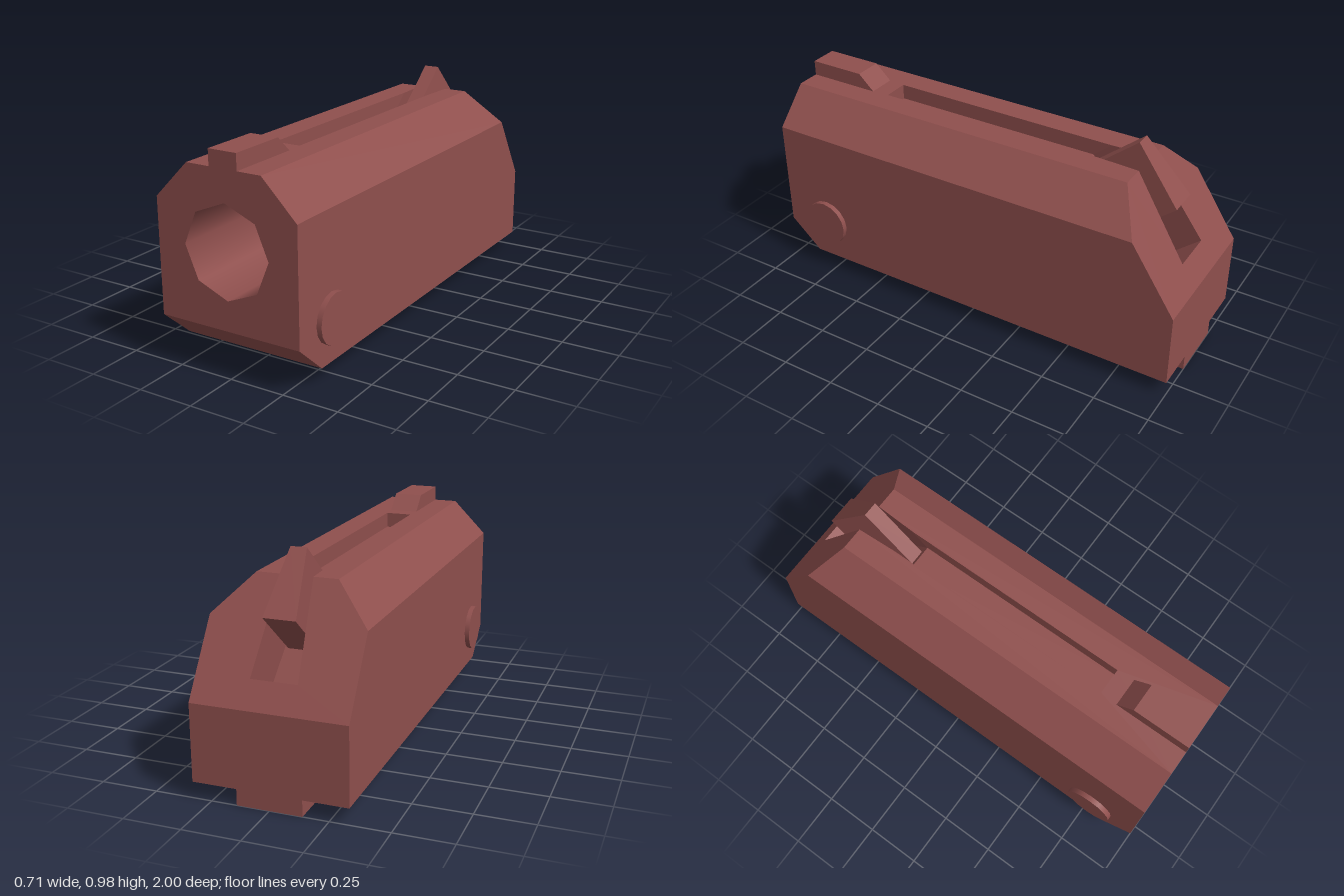
import * as THREE from 'three';

const material = new THREE.MeshStandardMaterial({ color: 0x8f4f4d });
const V = (x, y, z) => new THREE.Vector3(x, y, z);
const flipX = (pts) => pts.map((p) => V(-p.x, p.y, p.z));
// closes a right-hand chain of points with its mirror image
const symmetric = (half) => [...half, ...flipX(half).reverse()];

// Triangulates planar polygons, each turned to face its outward direction
function polygonMesh(name, faces) {
  const pos = [];
  for (const { pts, out, hole = [] } of faces) {
    const n = V(0, 0, 0);
    pts.forEach((p, i) => n.add(p.clone().cross(pts[(i + 1) % pts.length])));
    n.normalize();
    if (n.dot(out) < 0) n.negate();
    const u = (Math.abs(n.x) > 0.9 ? V(0, 0, 1) : V(1, 0, 0)).cross(n).normalize();
    const v = n.clone().cross(u);
    const flat = (list) => list.map((p) => new THREE.Vector2(p.dot(u), p.dot(v)));
    const all = [...pts, ...hole];
    const tris = THREE.ShapeUtils.triangulateShape(flat(pts), hole.length ? [flat(hole)] : []);
    for (const [a, b, c] of tris) {
      const ab = all[b].clone().sub(all[a]);
      const ac = all[c].clone().sub(all[a]);
      const order = ab.cross(ac).dot(n) > 0 ? [a, b, c] : [a, c, b];
      for (const i of order) pos.push(...all[i].toArray());
    }
  }
  const g = new THREE.BufferGeometry();
  g.setAttribute('position', new THREE.Float32BufferAttribute(pos, 3));
  g.computeVertexNormals();
  return named(name, g);
}

function named(name, geometry, mat = material) {
  const mesh = new THREE.Mesh(geometry, mat);
  mesh.name = name;
  return mesh;
}

// Extrudes a (z, y) side profile across x
function sideExtrude(name, profile, width) {
  const shape = new THREE.Shape(profile.map(([z, y]) => new THREE.Vector2(-z, y)));
  const g = new THREE.ExtrudeGeometry(shape, { depth: width, bevelEnabled: false });
  g.translate(0, 0, -width / 2).rotateY(Math.PI / 2);
  return named(name, g);
}

function createBody() {
  const W = 0.333, T = 0.175, top = 0.87, shoulder = 0.71, base = 0.07;
  const boreY = 0.535, boreR = 0.2;

  // corners of the +x half
  const topFront = V(T, top, 1), topBack = V(T, top, -0.69);
  const shFront = V(W, shoulder, 1), shBack = V(W, shoulder, -0.797);
  const lowFront = V(W, 0.205, 1), baseFront = V(W, base, 0.85);
  const baseBack = V(W, base, -1), slopeEnd = V(W, 0.405, -1);

  // slot along the top, running into a flared pocket on the rear slope
  const slotFront = V(0.06, top, 0.58), slotKink = V(0.06, top, -0.504);
  const slotFloorFront = V(0.06, 0.8, 0.58), slotFloorBack = V(0.06, 0.8, -0.42);
  const pocketTop = V(0.0687, top, -0.69), pocketLow = V(0.1, 0.51, -0.93);
  const pocketDeep = V(0.1, 0.377, -0.772);

  const bore = Array.from({ length: 8 }, (_, i) => {
    const a = (i * Math.PI) / 4;
    return V(Math.sin(a) * boreR, boreY + Math.cos(a) * boreR, 1);
  });

  const faces = [
    { pts: symmetric([topFront, shFront, lowFront]), out: V(0, 0, 1), hole: bore },
    { pts: symmetric([lowFront, baseFront]), out: V(0, -1, 1) },
    { pts: symmetric([baseFront, baseBack]), out: V(0, -1, 0) },
    { pts: symmetric([baseBack, slopeEnd]), out: V(0, 0, -1) },
    { pts: symmetric([pocketLow, pocketTop, topBack, shBack, slopeEnd]), out: V(0, 1, -1) },
    { pts: symmetric([slotFront, slotKink, pocketTop, topBack, topFront]), out: V(0, 1, 0) },
    { pts: symmetric([slotFront, slotFloorFront]), out: V(0, 0, -1) },
    { pts: symmetric([slotFloorFront, slotFloorBack]), out: V(0, 1, 0) },
    { pts: symmetric([slotFloorBack, pocketDeep]), out: V(0, 0.6, -0.8) },
    { pts: symmetric([pocketDeep, pocketLow]), out: V(0, 1, 0.5) },
  ];
  // walls that repeat on both sides
  const sides = [
    [[shFront, lowFront, baseFront, baseBack, slopeEnd, shBack], V(1, 0, 0)],
    [[topFront, shFront, shBack, topBack], V(1, 1, 0)],
    [[slotFront, slotFloorFront, slotFloorBack, slotKink], V(-1, 0, 0)],
    [[slotKink, slotFloorBack, pocketDeep, pocketLow, pocketTop], V(-1, 0, 0)],
  ];
  for (const [pts, out] of sides) {
    faces.push({ pts, out }, { pts: flipX(pts), out: V(-out.x, out.y, out.z) });
  }

  const group = new THREE.Group();
  group.name = 'body';
  group.add(polygonMesh('shell', faces));

  // octagonal bore with a closed end
  const depth = 0.8;
  const inside = material.clone();
  inside.side = THREE.BackSide;
  const tube = new THREE.CylinderGeometry(boreR, boreR, depth, 8, 1, true);
  tube.rotateX(Math.PI / 2).translate(0, boreY, 1 - depth / 2);
  const end = new THREE.CircleGeometry(boreR, 8).translate(0, boreY, 1 - depth);
  group.add(named('bore', tube, inside), named('boreEnd', end));
  return group;
}

// Tilted wedge bar: a trapezoid section carried along a slanted direction
function createHammer() {
  const run = V(0, -0.64, 0.77).multiplyScalar(0.31);
  const a = V(0.035, 0.98, -0.67), b = V(0.07, 0.74, -0.87);
  const a2 = a.clone().add(run), b2 = b.clone().add(run);
  const side = [a, b, b2, a2];
  return polygonMesh('hammer', [
    { pts: symmetric([a, b]), out: V(0, 0.6, -0.8) },
    { pts: symmetric([a2, b2]), out: V(0, -0.6, 0.8) },
    { pts: symmetric([a, a2]), out: V(0, 0.8, 0.6) },
    { pts: symmetric([b, b2]), out: V(0, -0.8, -0.6) },
    { pts: side, out: V(1, 0, 0) },
    { pts: flipX(side), out: V(-1, 0, 0) },
  ]);
}

export function createModel() {
  const model = new THREE.Group();
  model.name = 'slideBlock';
  model.add(createBody(), createHammer());

  // raised block at the front of the top, sloped at its rear
  model.add(sideExtrude('frontSight', [[1, 0.87], [0.66, 0.87], [0.735, 0.94], [1, 0.94]], 0.132));

  // rail under the body
  const rail = named('bottomRail', new THREE.BoxGeometry(0.28, 0.07, 1.525));
  rail.position.set(0, 0.035, -0.2375);
  model.add(rail);

  // round pin heads on both sides
  for (const [name, s] of [['leftPin', 1], ['rightPin', -1]]) {
    const pin = named(name, new THREE.CylinderGeometry(0.11, 0.11, 0.024, 16));
    pin.rotation.z = -s * Math.PI / 2;
    pin.position.set(s * 0.344, 0.26, 0.775);
    model.add(pin);
  }
  return model;
}
